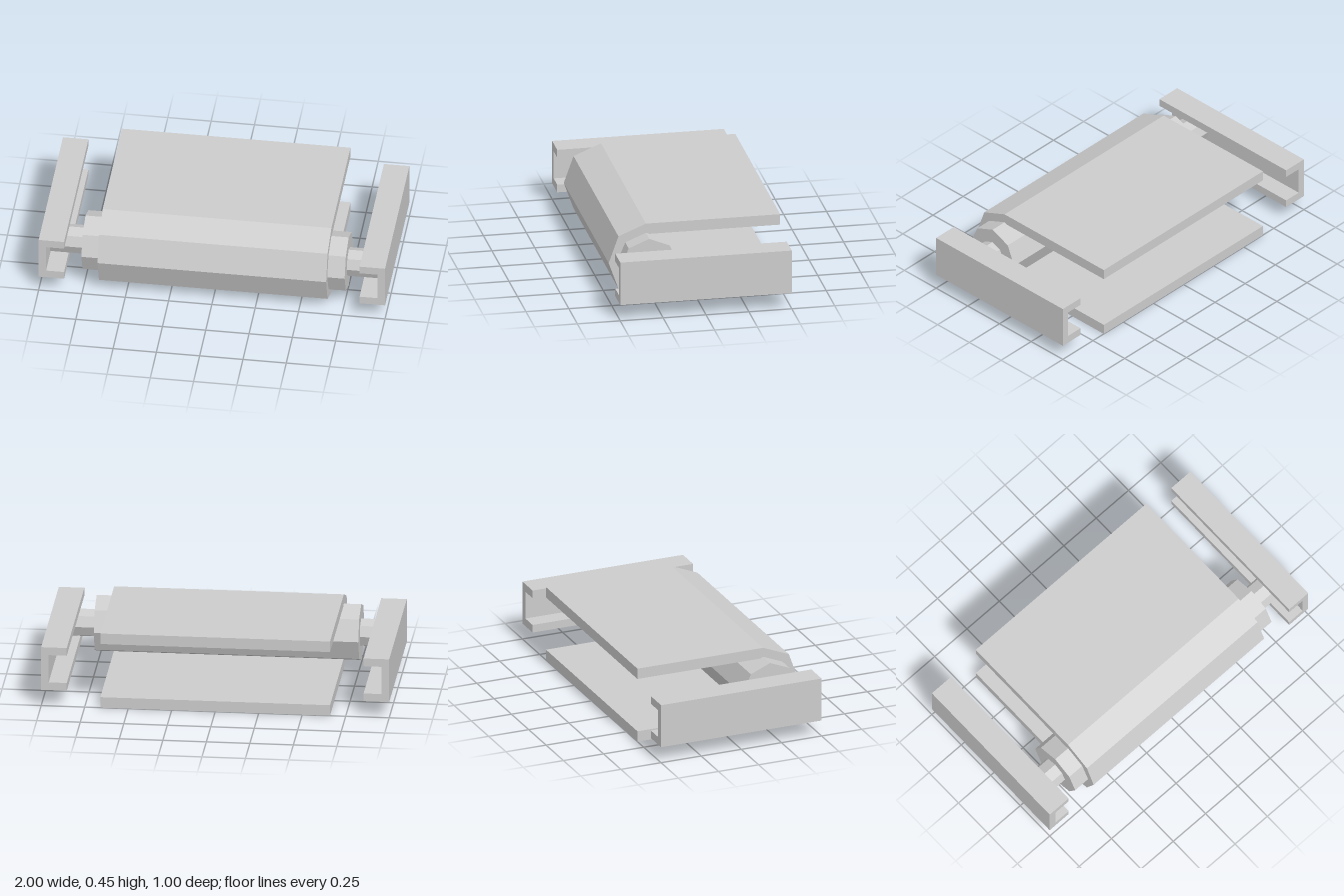
import * as THREE from 'three';

const AXLE_Y = 0.228, AXLE_Z = 0.283;

export function createModel() {
  const model = new THREE.Group();
  const metal = new THREE.MeshStandardMaterial({ color: 0xcccccc, flatShading: true });

  function add(name, geometry) {
    const mesh = new THREE.Mesh(geometry, metal);
    mesh.name = name;
    model.add(mesh);
    return mesh;
  }

  // Octagonal cylinder lying along x on the axle
  function octagon(name, radius, halfLength) {
    const g = new THREE.CylinderGeometry(radius, radius, halfLength * 2, 8);
    g.rotateZ(Math.PI / 2);
    add(name, g).position.set(0, AXLE_Y, AXLE_Z);
  }
  octagon('roller', 0.17, 0.76);
  octagon('axle', 0.083, 0.955);

  // Belt: a U profile in (z, y) wrapped round the roller, extruded along x
  function arc(ry, rz) {
    const points = [];
    for (let i = 0; i <= 4; i++) {
      const a = Math.PI / 2 - i * Math.PI / 4;
      points.push(new THREE.Vector2(AXLE_Z + Math.cos(a) * rz, AXLE_Y + Math.sin(a) * ry));
    }
    return points;
  }
  const outer = arc(0.226, 0.217);
  outer[1].x = outer[3].x = 0.443;
  const inner = arc(0.162, 0.16).reverse();
  const beltShape = new THREE.Shape([
    new THREE.Vector2(-0.5, outer[0].y), ...outer, new THREE.Vector2(-0.5, outer[4].y),
    new THREE.Vector2(-0.5, inner[0].y), ...inner, new THREE.Vector2(-0.5, inner[4].y),
  ]);
  const belt = new THREE.ExtrudeGeometry(beltShape, { depth: 1.32, bevelEnabled: false });
  belt.translate(0, 0, -0.66);
  belt.rotateY(-Math.PI / 2);
  // The turn sends shape x to +z
  add('belt', belt);

  // C-shaped side rails, open towards the belt
  for (const [name, s] of [['leftRail', 1], ['rightRail', -1]]) {
    const profile = [
      [0.853, 0.098], [1, 0.098], [1, 0.358], [0.853, 0.358],
      [0.853, 0.311], [0.957, 0.311], [0.957, 0.145], [0.853, 0.145],
    ].map(([x, y]) => new THREE.Vector2(x * s, y));
    const rail = new THREE.ExtrudeGeometry(new THREE.Shape(profile), { depth: 1, bevelEnabled: false });
    rail.translate(0, 0, -0.5);
    add(name, rail);
  }

  return model;
}
